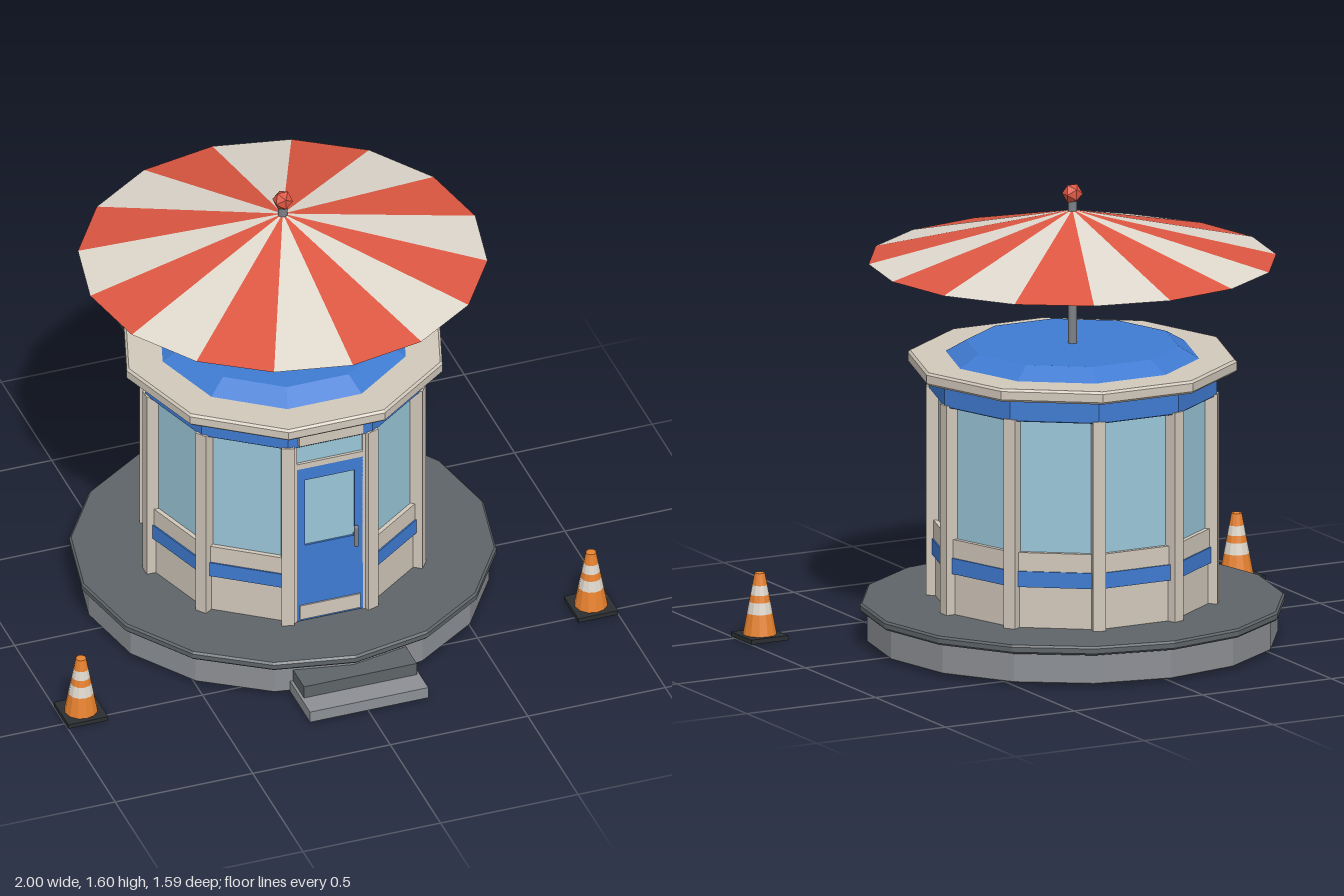
import * as THREE from 'three';

const mat = (name, color) => {
  const m = new THREE.MeshStandardMaterial({ color });
  m.name = name;
  return m;
};
const M = {
  cream: mat('cream', 0xdfd8cd),
  beige: mat('beige', 0xd2c8bb),
  red: mat('red', 0xdd5742),
  blue: mat('blue', 0x3f7bd2),
  glass: mat('glass blue', 0x9ac6d8),
  grey: mat('concrete grey', 0x8c8f94),
  dark: mat('dark grey', 0x5e6468),
  black: mat('rubber black', 0x2b2f31),
  orange: mat('orange', 0xe8822f),
  metal: mat('metal grey', 0x7d8288),
};

const CZ = -0.07;           // booth centre along z
const SIDES = 10;           // booth walls
const STEP = (Math.PI * 2) / SIDES;

function add(parent, name, geo, material, x = 0, y = 0, z = 0) {
  const mesh = new THREE.Mesh(geo, material);
  mesh.name = name;
  mesh.position.set(x, y, z);
  parent.add(mesh);
  return mesh;
}

// Box given by centre x, bottom and top y, centre z
function box(parent, name, material, w, y0, y1, d, x = 0, z = 0) {
  return add(parent, name, new THREE.BoxGeometry(w, y1 - y0, d), material, x, (y0 + y1) / 2, z);
}

// Faceted solid of revolution from [radius, y] pairs, listed bottom to top
function prism(parent, name, material, profile, sides, start = 0) {
  const pts = profile.map(([r, y]) => new THREE.Vector2(r, y));
  const geo = new THREE.LatheGeometry(pts, sides, start).toNonIndexed();
  geo.computeVertexNormals();
  return add(parent, name, geo, material);
}

// Closed slab with small chamfers
function slab(parent, name, material, r, y0, y1, sides, start, c = 0.006) {
  return prism(parent, name, material,
    [[0, y0], [r - c, y0], [r, y0 + c], [r, y1 - c], [r - c, y1], [0, y1]], sides, start);
}

// Striped parasol on a pole
function buildParasol() {
  const g = new THREE.Group();
  g.name = 'parasol';
  const n = 16, w = (Math.PI * 2) / n;
  for (let i = 0; i < n; i++) {
    const geo = new THREE.ConeGeometry(0.7, 0.175, 1, 1, true, i * w, w).toNonIndexed();
    geo.computeVertexNormals();
    add(g, 'canopyStripe', geo, i % 2 ? M.cream : M.red, 0, 1.4225, 0);
  }
  prism(g, 'canopyUnderside', M.cream, [[0, 1.507], [0.7, 1.334]], n);
  add(g, 'pole', new THREE.CylinderGeometry(0.016, 0.016, 0.52, 10), M.metal, 0, 1.28, 0);
  add(g, 'finial', new THREE.IcosahedronGeometry(0.036, 0), M.red, 0, 1.566, 0);
  return g;
}

// Door with window, kick plate, handle and transom, facing +z
function buildDoor() {
  const g = new THREE.Group();
  g.name = 'door';
  g.position.z = 0.455;
  box(g, 'doorBottomPanel', M.blue, 0.24, 0.15, 0.46, 0.03);
  box(g, 'doorTopRail', M.blue, 0.24, 0.73, 0.78, 0.03);
  for (const s of [-1, 1]) {
    box(g, 'doorStile', M.blue, 0.03, 0.46, 0.73, 0.03, s * 0.105);
    box(g, 'doorJamb', M.beige, 0.016, 0.145, 0.875, 0.03, s * 0.127);
  }
  box(g, 'doorWindow', M.glass, 0.18, 0.46, 0.73, 0.016);
  box(g, 'kickPlate', M.beige, 0.22, 0.158, 0.215, 0.006, 0, 0.017);
  box(g, 'transomBar', M.beige, 0.24, 0.78, 0.802, 0.034);
  box(g, 'transomWindow', M.glass, 0.24, 0.802, 0.875, 0.014);
  box(g, 'signPlate', M.beige, 0.235, 0.885, 0.94, 0.02, 0, 0.022);
  const handle = new THREE.CapsuleGeometry(0.009, 0.07, 3, 8);
  add(g, 'doorHandle', handle, M.metal, 0.09, 0.465, 0.03);
  box(g, 'handleMount', M.metal, 0.01, 0.46, 0.47, 0.02, 0.09, 0.02);
  return g;
}

// Ten-sided booth
function buildBooth() {
  const g = new THREE.Group();
  g.name = 'booth';
  const a = STEP / 2;
  prism(g, 'windows', M.glass, [[0.466, 0.145], [0.466, 0.9]], SIDES, a);
  for (let i = 0; i < SIDES; i++) {
    const post = new THREE.Group();
    post.name = 'cornerPost';
    post.rotation.y = (i + 0.5) * STEP;
    box(post, 'post', M.beige, 0.044, 0.145, 0.88, 0.044, 0, 0.48);
    g.add(post);
    if (i === 0) continue; // door bay
    const bay = new THREE.Group();
    bay.name = 'wallBay';
    bay.rotation.y = i * STEP;
    box(bay, 'lowerPanel', M.beige, 0.29, 0.145, 0.29, 0.02, 0, 0.443);
    box(bay, 'wallStripe', M.blue, 0.292, 0.29, 0.345, 0.036, 0, 0.446);
    box(bay, 'windowSill', M.beige, 0.291, 0.345, 0.41, 0.03, 0, 0.444);
    g.add(bay);
  }
  g.add(buildDoor());
  slab(g, 'topBand', M.blue, 0.498, 0.872, 0.957, SIDES, a, 0.003);
  slab(g, 'roofLedge', M.beige, 0.567, 0.955, 1.0, SIDES, a, 0.008);
  prism(g, 'roofCap', M.blue, [[0.44, 0.998], [0.365, 1.042], [0, 1.042]], SIDES, a);
  return g;
}

// Round platform with two steps
function buildPlatform() {
  const g = new THREE.Group();
  g.name = 'platform';
  slab(g, 'platformBase', M.grey, 0.705, 0.01, 0.118, 16, 0, 0.003);
  slab(g, 'platformRim', M.dark, 0.73, 0.115, 0.146, 16, 0, 0.007);
  box(g, 'lowerStep', M.grey, 0.43, 0.008, 0.05, 0.21, 0, 0.755);
  box(g, 'upperStep', M.dark, 0.41, 0.05, 0.096, 0.15, 0, 0.698);
  return g;
}

// Traffic cone with two pale bands
function buildCone(x) {
  const g = new THREE.Group();
  g.name = 'trafficCone';
  g.position.set(x, 0, 0.46);
  box(g, 'coneFoot', M.black, 0.145, 0, 0.016, 0.145);
  const levels = [0.016, 0.09, 0.13, 0.155, 0.188, 0.23];
  const radius = (y) => 0.058 - ((y - 0.016) / 0.214) * 0.04;
  for (let i = 0; i < 5; i++) {
    const [y0, y1] = [levels[i], levels[i + 1]];
    prism(g, 'coneBand', i % 2 ? M.cream : M.orange, [[radius(y0), y0], [radius(y1), y1]], 12);
  }
  prism(g, 'coneTip', M.orange, [[0.018, 0.23], [0.009, 0.232], [0, 0.232]], 12);
  return g;
}

export function createModel() {
  const model = new THREE.Group();
  model.name = 'ticketBooth';
  const kiosk = new THREE.Group();
  kiosk.name = 'kiosk';
  kiosk.position.z = CZ;
  kiosk.add(buildPlatform(), buildBooth(), buildParasol());
  model.add(kiosk, buildCone(-0.927), buildCone(0.927));
  return model;
}
